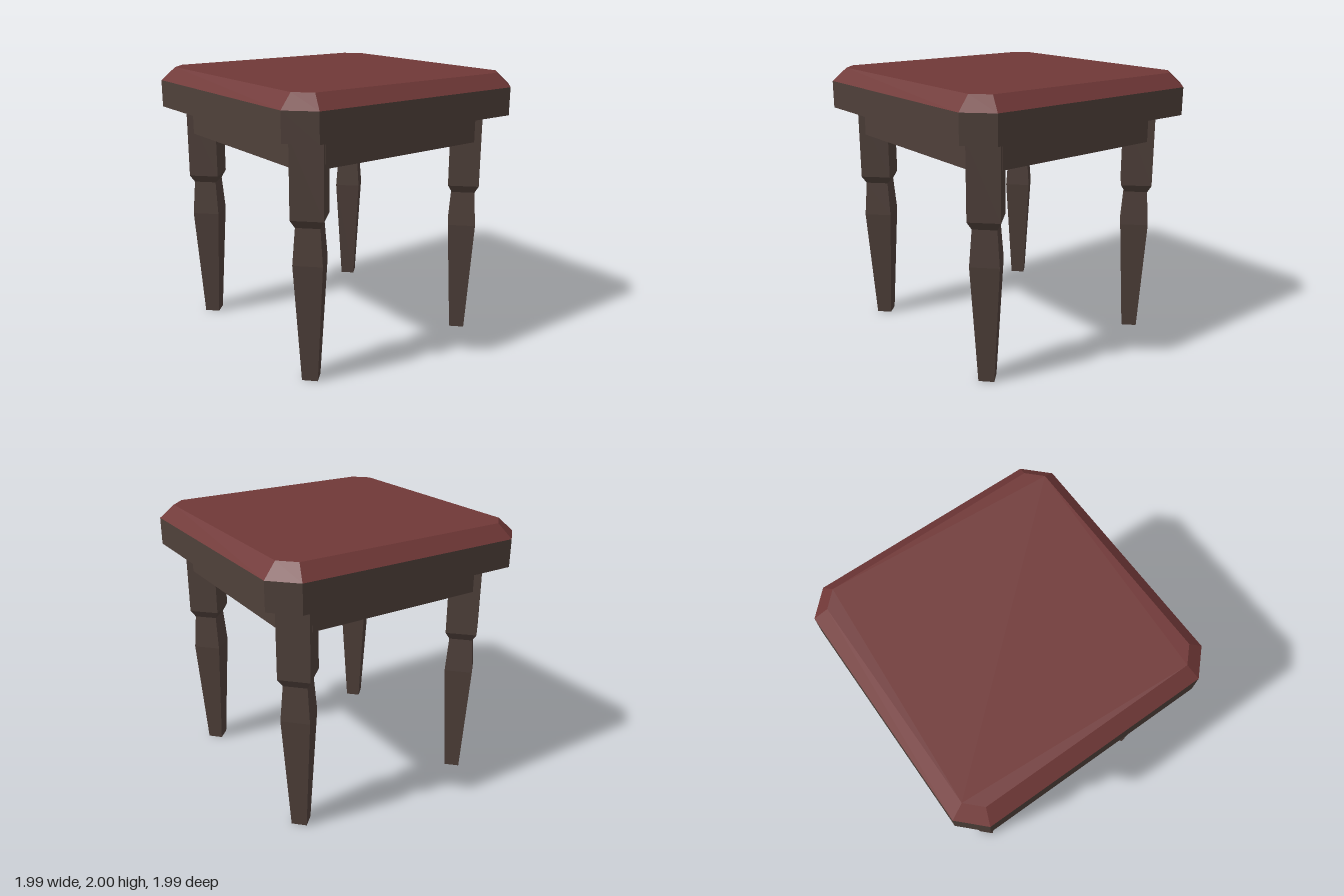
import * as THREE from 'three';

const wood = new THREE.MeshStandardMaterial({ color: 0x4f403a, flatShading: true });
const fabric = new THREE.MeshStandardMaterial({ color: 0x703837, flatShading: true });

// Corners of a square with cut corners: half-width h, straight edges ending at e
function cutSquare(h, e) {
  return [[e, -h], [h, -e], [h, e], [e, h], [-e, h], [-h, e], [-h, -e], [-e, -h]]
    .map(([x, y]) => new THREE.Vector2(x, y));
}

// Upright slab standing between y0 and y1, optionally hollow
function slab(outer, y0, y1, inner) {
  const shape = new THREE.Shape(outer);
  if (inner) shape.holes.push(new THREE.Path(inner));
  const geo = new THREE.ExtrudeGeometry(shape, { depth: y1 - y0, bevelEnabled: false });
  return geo.rotateX(-Math.PI / 2).translate(0, y0, 0);
}

function addPart(group, name, geometry, material) {
  const mesh = new THREE.Mesh(geometry, material);
  mesh.name = name;
  group.add(mesh);
  return mesh;
}

export function createModel() {
  const stool = new THREE.Group();
  stool.name = 'stool';

  // Wooden seat frame and hollow apron beneath it
  addPart(stool, 'seatFrame', slab(cutSquare(0.995, 0.83), 1.705, 1.905), wood);
  addPart(stool, 'apron', slab(cutSquare(0.828, 0.668), 1.5, 1.71, cutSquare(0.758, 0.638)), wood);

  // Cushion: the upper corners are drawn in to form the bevel
  const cushion = slab(cutSquare(0.995, 0.83), 1.905, 2);
  const pos = cushion.attributes.position;
  const drawIn = (v) => Math.sign(v) * (Math.abs(v) > 0.9 ? 0.895 : 0.79);
  for (let i = 0; i < pos.count; i++) {
    if (pos.getY(i) > 1.95) {
      pos.setX(i, drawIn(pos.getX(i)));
      pos.setZ(i, drawIn(pos.getZ(i)));
    }
  }
  cushion.computeVertexNormals();
  addPart(stool, 'cushion', cushion, fabric);

  // Four-sided turned legs, set diagonally
  const profile = [[0, 0], [0.078, 0], [0.143, 0.855], [0.118, 1.11], [0.158, 1.165], [0.158, 1.71], [0, 1.71]]
    .map(([r, y]) => new THREE.Vector2(r, y));
  const legGeometry = new THREE.LatheGeometry(profile, 4);
  for (const [x, side] of [[1, 'Left'], [-1, 'Right']]) {
    for (const [z, end] of [[1, 'front'], [-1, 'back']]) {
      addPart(stool, `${end}${side}Leg`, legGeometry, wood).position.set(x * 0.705, 0, z * 0.705);
    }
  }
  return stool;
}
